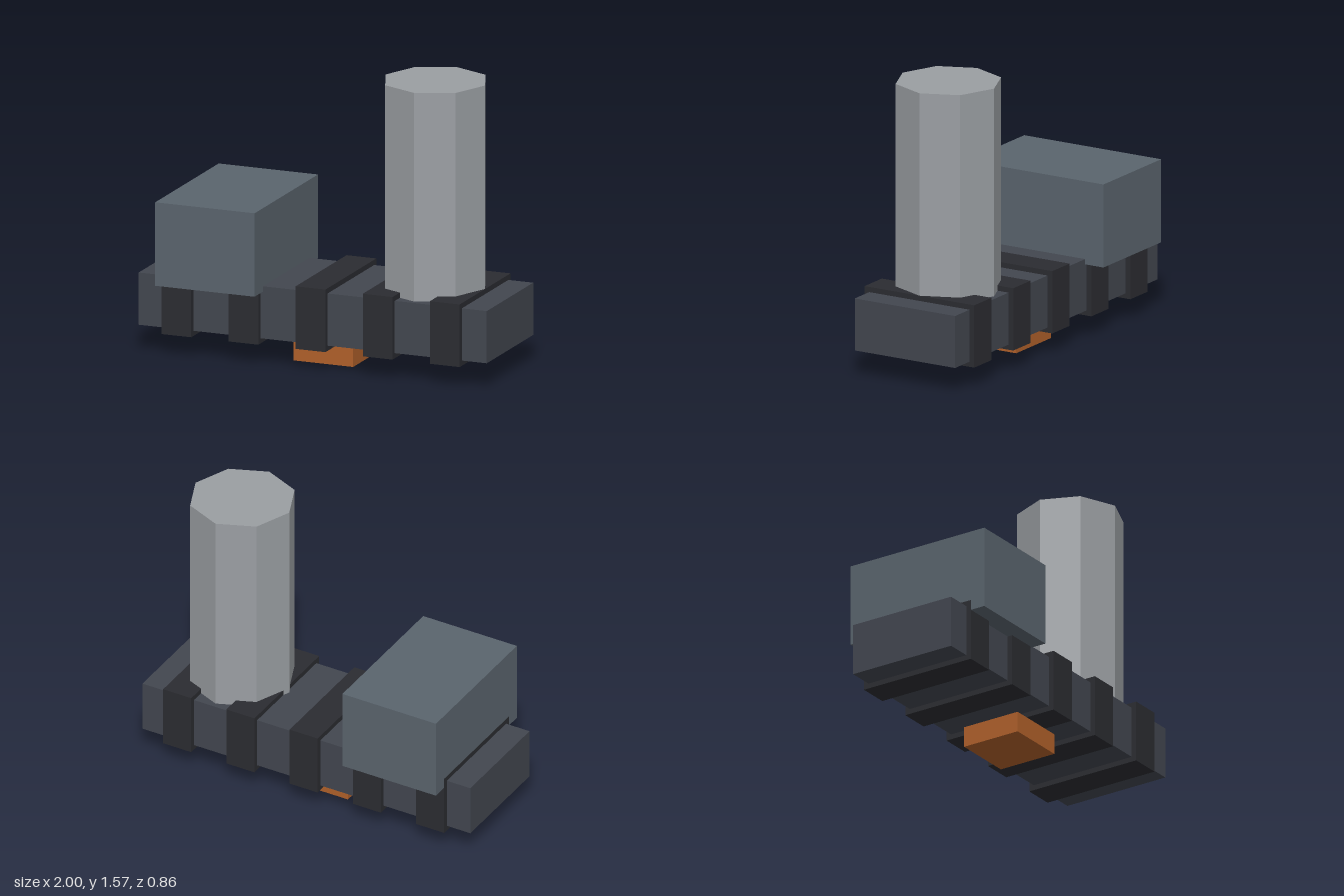
import * as THREE from 'three';

export function createModel() {
  const model = new THREE.Group();
  const add = (name, geometry, color, x, y, z = 0) => {
    const material = new THREE.MeshStandardMaterial({ color, flatShading: true });
    const mesh = new THREE.Mesh(geometry, material);
    mesh.name = name;
    mesh.position.set(x, y, z);
    model.add(mesh);
    return mesh;
  };

  // Long main beam
  add('beam', new THREE.BoxGeometry(2, 0.286, 0.628), 0x42464f, 0, 0.286);

  // Raised bands wrapped around the beam
  const band = new THREE.BoxGeometry(0.171, 0.343, 0.686);
  for (let i = -2; i <= 2; i++) add('band', band, 0x2b2c31, i * 0.3857, 0.286);

  // Wide block on the right end
  add('block', new THREE.BoxGeometry(0.571, 0.457, 0.857), 0x5a646d, -0.571, 0.6285);

  // Eight-sided column on the left end
  add('column', new THREE.CylinderGeometry(0.286, 0.286, 1.143, 8), 0x9a9ea2, 0.571, 1.0);

  // Square foot under the middle
  add('foot', new THREE.BoxGeometry(0.343, 0.114, 0.343), 0xb0602a, 0, 0.057);

  return model;
}
